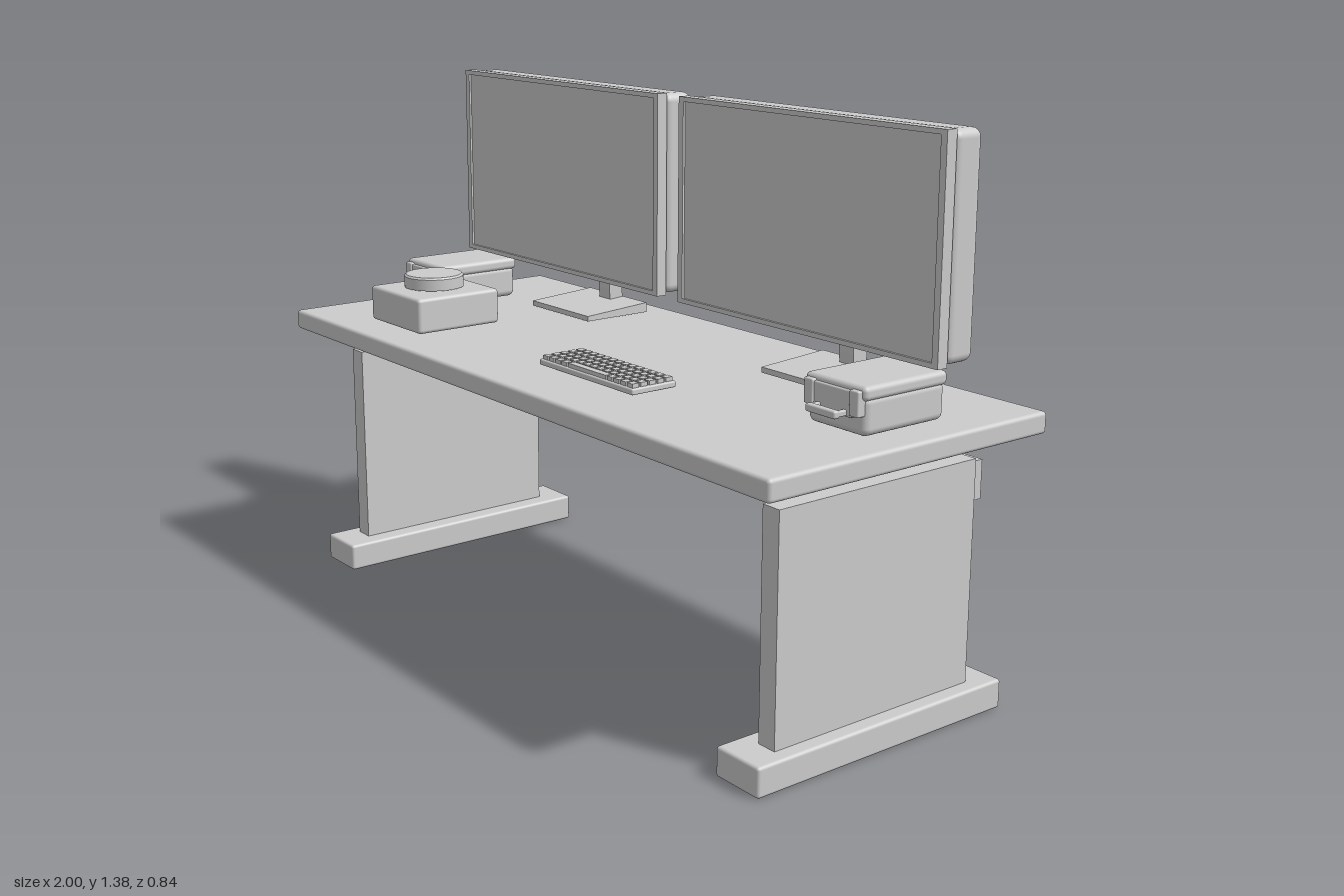
import * as THREE from 'three';
import { RoundedBoxGeometry } from 'three/addons/geometries/RoundedBoxGeometry.js';

const grey = new THREE.MeshStandardMaterial({ color: 0xcccccc });
grey.name = 'plain grey';

function add(parent, name, geometry, x = 0, y = 0, z = 0) {
  const mesh = new THREE.Mesh(geometry, grey);
  mesh.name = name;
  mesh.position.set(x, y, z);
  parent.add(mesh);
  return mesh;
}

// Box given by its limits on each axis; r > 0 rounds the edges
function box(parent, name, [x0, x1], [y0, y1], [z0, z1], r = 0) {
  const s = [x1 - x0, y1 - y0, z1 - z0];
  const g = r ? new RoundedBoxGeometry(...s, 3, r) : new THREE.BoxGeometry(...s);
  return add(parent, name, g, (x0 + x1) / 2, (y0 + y1) / 2, (z0 + z1) / 2);
}

function group(parent, name, x = 0) {
  const g = new THREE.Group();
  g.name = name;
  g.position.x = x;
  parent.add(g);
  return g;
}

function tube(parent, name, points, radius) {
  const curve = new THREE.CatmullRomCurve3(points.map(p => new THREE.Vector3(...p)));
  return add(parent, name, new THREE.TubeGeometry(curve, 24, radius, 6));
}

// Side profile given as [z, y] points, extruded along x and centred
function sideProfile(parent, name, points, width) {
  const shape = new THREE.Shape(points.map(([z, y]) => new THREE.Vector2(-z, y)));
  const g = new THREE.ExtrudeGeometry(shape, { depth: width, bevelEnabled: false });
  g.translate(0, 0, -width / 2).rotateY(Math.PI / 2);
  return add(parent, name, g);
}

function addDesk(root) {
  const desk = group(root, 'desk');
  box(desk, 'desktop', [-1, 1], [0.68, 0.733], [-0.42, 0.42], 0.01);
  box(desk, 'rearBeam', [-0.88, 0.88], [0.51, 0.605], [-0.345, -0.299]);
  for (const s of [-1, 1]) {
    box(desk, 'legPanel', [s * 0.875 - 0.026, s * 0.875 + 0.026], [0.06, 0.62], [-0.3, 0.3]);
    box(desk, 'foot', [s * 0.87 - 0.07, s * 0.87 + 0.07], [0, 0.073], [-0.38, 0.38], 0.008);
  }
}

function addMonitor(root, x) {
  const m = group(root, 'monitor', x);
  // Screen, frame and rear housing
  const w = 0.447, y0 = 0.861, y1 = 1.381, b = 0.018;
  const frame = new THREE.Shape();
  frame.moveTo(-w, y0).lineTo(w, y0).lineTo(w, y1).lineTo(-w, y1).closePath();
  const hole = new THREE.Path();
  hole.moveTo(-w + b, y0 + 0.012).lineTo(-w + b, y1 - 0.012);
  hole.lineTo(w - b, y1 - 0.012).lineTo(w - b, y0 + 0.012).closePath();
  frame.holes.push(hole);
  add(m, 'screenFrame', new THREE.ExtrudeGeometry(frame, { depth: 0.03, bevelEnabled: false }), 0, 0, -0.151);
  box(m, 'screen', [-w + 0.01, w - 0.01], [y0 + 0.005, y1 - 0.005], [-0.145, -0.127]);
  box(m, 'housing', [-w, w], [y0 + 0.002, y1 - 0.002], [-0.238, -0.148], 0.022);

  // Rear panel with vents, screws and ports
  box(m, 'rearPanel', [-0.35, 0.35], [0.938, 1.304], [-0.253, -0.235], 0.005);
  for (let i = 0; i < 11; i++) {
    const vx = -0.25 + i * 0.05;
    box(m, 'vent', [vx - 0.005, vx + 0.005], [i % 2 ? 1.222 : 1.232, 1.264], [-0.258, -0.25]);
    box(m, 'ventCap', [vx - 0.005, vx + 0.014], [1.257, 1.264], [-0.257, -0.25]);
  }
  for (const sx of [-0.29, 0.29]) for (const sy of [0.99, 1.23]) {
    const screw = add(m, 'screw', new THREE.CylinderGeometry(0.006, 0.006, 0.006, 10), sx, sy, -0.254);
    screw.rotation.x = Math.PI / 2;
  }
  box(m, 'portStrip', [-0.16, 0.16], [0.955, 1.02], [-0.258, -0.25]);
  for (const px of [-0.115, -0.065, 0.065, 0.115])
    box(m, 'port', [px - 0.018, px + 0.018], [0.97, 1.002], [-0.267, -0.255], 0.003);

  // Mount, hinge and stand
  box(m, 'mountPlate', [-0.08, 0.08], [1.045, 1.202], [-0.278, -0.25], 0.004);
  box(m, 'mountBracket', [-0.035, 0.035], [1.04, 1.15], [-0.3, -0.275], 0.004);
  for (const [r, half] of [[0.03, 0.05], [0.018, 0.057]]) {
    const hinge = add(m, 'hinge', new THREE.CylinderGeometry(r, r, half * 2, 24), 0, 1.066, -0.304);
    hinge.rotation.z = Math.PI / 2;
  }
  sideProfile(m, 'post', [[-0.288, 0.755], [-0.33, 0.755], [-0.326, 1.05], [-0.3, 1.15],
    [-0.283, 1.15], [-0.29, 1.04], [-0.284, 0.79]], 0.05);
  sideProfile(m, 'standBase', [[-0.13, 0.738], [-0.333, 0.738], [-0.333, 0.765], [-0.29, 0.762], [-0.13, 0.752]], 0.265);

  // Cables
  tube(m, 'plugCable', [[0.055, 0.99, -0.262], [0.07, 0.975, -0.29], [0.065, 0.92, -0.315],
    [0.045, 0.85, -0.328], [0.012, 0.8, -0.336]], 0.004);
  tube(m, 'signalCable', [[0.035, 0.985, -0.262], [0.045, 0.95, -0.29], [0.05, 0.89, -0.31],
    [0.035, 0.82, -0.328], [0, 0.79, -0.335]], 0.004);
  box(m, 'cableClip', [-0.018, 0.018], [0.79, 0.805], [-0.342, -0.325], 0.003);
  for (const cx of [-0.006, 0.006])
    tube(m, 'deskCable', [[cx, 0.585, -0.255], [cx, 0.66, -0.255], [cx, 0.74, -0.255]], 0.003);
}

// Small lidded case with latches and a carrying handle at the front
function addCase(root, x) {
  const c = group(root, 'case', x);
  box(c, 'caseBody', [-0.09, 0.09], [0.742, 0.832], [-0.157, 0.088], 0.018);
  box(c, 'caseLid', [-0.094, 0.094], [0.822, 0.855], [-0.16, 0.093], 0.012);
  box(c, 'frontPlate', [-0.058, 0.058], [0.782, 0.842], [0.08, 0.1], 0.004);
  for (const s of [-1, 1]) {
    box(c, 'latch', [s * 0.07 - 0.014, s * 0.07 + 0.014], [0.788, 0.846], [0.08, 0.105], 0.004);
    box(c, 'handleArm', [s * 0.04 - 0.006, s * 0.04 + 0.006], [0.785, 0.798], [0.09, 0.132], 0.003);
  }
  box(c, 'handleGrip', [-0.046, 0.046], [0.782, 0.8], [0.118, 0.136], 0.005);
}

function addDial(root) {
  const d = group(root, 'dialBox');
  box(d, 'dialBody', [-0.73, -0.48], [0.742, 0.836], [0.078, 0.33], 0.01);
  const profile = [[0, 0.835], [0.08, 0.84], [0.08, 0.84], [0.08, 0.87], [0.08, 0.87], [0.075, 0.875], [0.075, 0.875], [0, 0.875]];
  add(d, 'dial', new THREE.LatheGeometry(profile.map(p => new THREE.Vector2(...p)), 40), -0.605, 0, 0.205);
}

function addKeyboard(root) {
  const k = group(root, 'keyboard');
  box(k, 'keyboardBody', [0.02, 0.39], [0.755, 0.77], [0.163, 0.292], 0.004);
  for (let row = 0; row < 5; row++) for (let col = 0; col < 14; col++) {
    if (row === 4 && col > 3 && col < 10) continue;
    const x = 0.037 + col * 0.0258, z = 0.178 + row * 0.0245;
    box(k, 'key', [x - 0.01, x + 0.01], [0.768, 0.78], [z - 0.0095, z + 0.0095]);
  }
  box(k, 'spaceBar', [0.13, 0.28], [0.768, 0.78], [0.2665, 0.2855]);
}

export function createModel() {
  const root = new THREE.Group();
  root.name = 'workstation';
  addDesk(root);
  for (const s of [-1, 1]) {
    addMonitor(root, s * 0.489);
    addCase(root, s * 0.84);
  }
  addDial(root);
  addKeyboard(root);
  return root;
}
